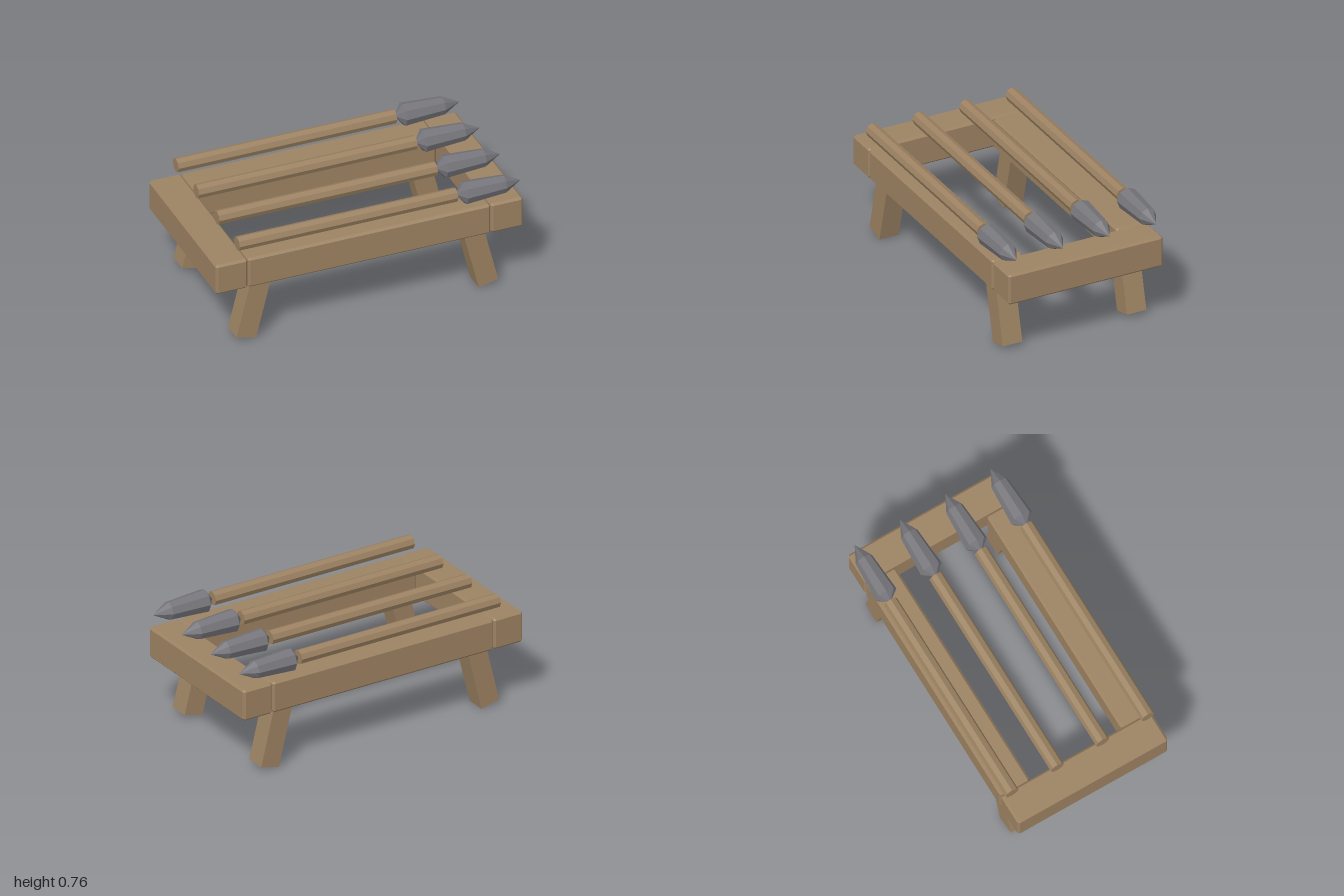
import * as THREE from 'three';
import { ConvexGeometry } from 'three/addons/geometries/ConvexGeometry.js';

// Box with every edge and corner chamfered by c
function chamferedBox(w, h, d, c) {
  const points = [];
  for (const sx of [-1, 1]) for (const sy of [-1, 1]) for (const sz of [-1, 1]) {
    const x = w / 2, y = h / 2, z = d / 2;
    points.push(
      new THREE.Vector3(sx * x, sy * (y - c), sz * (z - c)),
      new THREE.Vector3(sx * (x - c), sy * y, sz * (z - c)),
      new THREE.Vector3(sx * (x - c), sy * (y - c), sz * z)
    );
  }
  return new ConvexGeometry(points);
}

export function createModel() {
  const model = new THREE.Group();
  model.name = 'spearRack';

  const wood = new THREE.MeshStandardMaterial({ color: 0x9c8262, flatShading: true });
  wood.name = 'wood';
  const iron = new THREE.MeshStandardMaterial({ color: 0x75757b, flatShading: true });
  iron.name = 'iron';

  const add = (parent, name, geometry, material, x, y, z) => {
    const mesh = new THREE.Mesh(geometry, material);
    mesh.name = name;
    mesh.position.set(x, y, z);
    parent.add(mesh);
    return mesh;
  };

  // Frame: two cross beams at the ends, two long rails between them
  const beamY = 0.492, beamH = 0.206;
  const endBeam = chamferedBox(0.208, beamH, 1.048, 0.014);
  const rail = chamferedBox(1.576, beamH, 0.206, 0.014);
  for (const s of [-1, 1]) {
    add(model, s > 0 ? 'leftEndBeam' : 'rightEndBeam', endBeam, wood, s * 0.894, beamY, 0);
    add(model, s > 0 ? 'frontRail' : 'backRail', rail, wood, 0, beamY, s * 0.421);
  }

  // Splayed legs, pivoting at the centre of the foot
  const leg = new THREE.BoxGeometry(0.13, 0.48, 0.132).translate(0, 0.24, 0);
  for (const sx of [-1, 1]) for (const sz of [-1, 1]) {
    const name = (sz > 0 ? 'front' : 'back') + (sx > 0 ? 'Left' : 'Right') + 'Leg';
    add(model, name, leg, wood, sx * 0.787, 0.016, sz * 0.421).rotation.z = sx * 0.243;
  }

  // Spears: eight-sided shaft and faceted head, lying along x
  const shaft = new THREE.CylinderGeometry(0.045, 0.045, 1.42, 8).rotateZ(-Math.PI / 2);
  const profile = [[0, 0.578], [0.073, 0.632], [0.057, 0.89], [0, 1]];
  const head = new THREE.LatheGeometry(profile.map(([r, x]) => new THREE.Vector2(r, x)), 8)
    .rotateZ(-Math.PI / 2);
  for (const z of [-0.474, -0.158, 0.158, 0.474]) {
    const spear = new THREE.Group();
    spear.name = 'spear';
    spear.position.set(0, 0.69, z);
    add(spear, 'spearShaft', shaft, wood, -0.132, 0, 0);
    add(spear, 'spearHead', head, iron, 0, 0, 0);
    model.add(spear);
  }

  return model;
}
